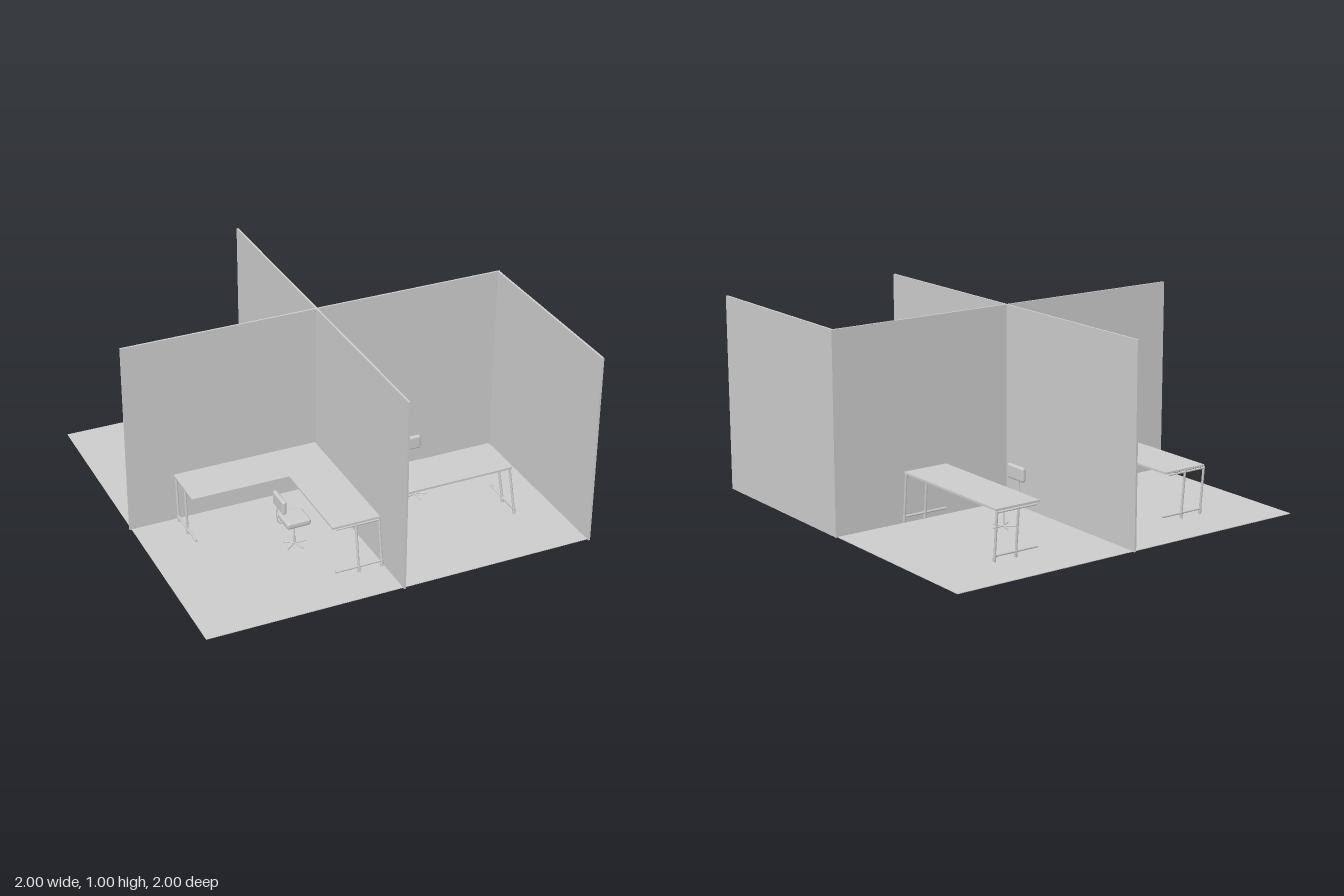
import * as THREE from 'three';
import { RoundedBoxGeometry } from 'three/addons/geometries/RoundedBoxGeometry.js';

const material = new THREE.MeshStandardMaterial({ color: 0xcccccc });
const TOP = 0.262, THICK = 0.01;

function add(parent, name, geometry, x = 0, y = 0, z = 0) {
  const mesh = new THREE.Mesh(geometry, material);
  mesh.name = name;
  mesh.position.set(x, y, z);
  parent.add(mesh);
  return mesh;
}

// Box given by its extents
function slab(parent, name, x0, x1, y0, y1, z0, z1) {
  return add(parent, name, new THREE.BoxGeometry(x1 - x0, y1 - y0, z1 - z0),
    (x0 + x1) / 2, (y0 + y1) / 2, (z0 + z1) / 2);
}

// Round rod between two points
function rod(parent, name, a, b, r) {
  const d = b.clone().sub(a);
  const mesh = add(parent, name, new THREE.CylinderGeometry(r, r, d.length(), 12));
  mesh.position.copy(a).addScaledVector(d, 0.5);
  mesh.quaternion.setFromUnitVectors(new THREE.Vector3(0, 1, 0), d.normalize());
  return mesh;
}

// Leaning leg with a foot glide
function leg(parent, x, z, lean) {
  const top = new THREE.Vector3(x, TOP - THICK, z);
  const foot = new THREE.Vector3(x + lean[0], 0.008, z + lean[1]);
  rod(parent, 'deskLeg', foot, top, 0.006);
  rod(parent, 'footGlide', foot, foot.clone().lerp(top, 0.14), 0.008);
}

// End frame: two legs, a foot bar and a top rail, running from (x, z) along dir
function endFrame(parent, x, z, dir, lean) {
  const frame = new THREE.Group();
  frame.name = 'endFrame';
  parent.add(frame);
  for (const s of [0, 0.12]) leg(frame, x + dir[0] * s, z + dir[1] * s, lean);
  const bar = (name, y, len, k, r) => rod(frame, name,
    new THREE.Vector3(x + lean[0] * k, y, z + lean[1] * k),
    new THREE.Vector3(x + lean[0] * k + dir[0] * len, y, z + lean[1] * k + dir[1] * len), r);
  bar('footBar', 0.036, 0.24, 0.88, 0.006);
  bar('topRail', TOP - THICK - 0.006, 0.22, 0, 0.005);
}

function rail(parent, x0, z0, x1, z1) {
  const y = TOP - THICK - 0.007;
  rod(parent, 'longRail', new THREE.Vector3(x0, y, z0), new THREE.Vector3(x1, y, z1), 0.005);
}

// Chair facing local +z, turned about its post
function chair(parent, x, z, turn) {
  const g = new THREE.Group();
  g.name = 'chair';
  g.position.set(x, 0, z);
  g.rotation.y = turn;
  parent.add(g);
  add(g, 'seat', new RoundedBoxGeometry(0.125, 0.036, 0.125, 3, 0.013), 0, 0.172, 0);
  add(g, 'backrest', new RoundedBoxGeometry(0.125, 0.072, 0.024, 3, 0.011), 0, 0.282, -0.075);
  add(g, 'post', new THREE.CylinderGeometry(0.004, 0.004, 0.125, 12), 0, 0.093, 0);
  const spine = new THREE.CatmullRomCurve3([
    [0, 0.155, -0.04], [0, 0.165, -0.075], [0, 0.2, -0.09], [0, 0.27, -0.088],
  ].map((p) => new THREE.Vector3(...p)));
  add(g, 'backSupport', new THREE.TubeGeometry(spine, 16, 0.003, 8));
  // Five-spoke base
  for (let i = 0; i < 5; i++) {
    const a = (i / 5) * Math.PI * 2 + Math.PI / 2;
    rod(g, 'baseSpoke', new THREE.Vector3(0, 0.033, 0),
      new THREE.Vector3(Math.cos(a) * 0.062, 0.033, Math.sin(a) * 0.062), 0.004);
  }
}

function group(parent, name) {
  const g = new THREE.Group();
  g.name = name;
  parent.add(g);
  return g;
}

export function createModel() {
  const model = new THREE.Group();
  model.name = 'officeCubicles';

  // Floor and partitions
  slab(model, 'floor', -0.99, 0.99, 0, 0.003, -0.99, 0.99);
  slab(model, 'crossPartition', -1, 1, 0, 1, -0.005, 0.005);
  slab(model, 'lengthPartition', -0.005, 0.005, 0, 1, -1, 1);
  slab(model, 'sidePartition', 0.987, 0.998, 0, 1, 0, 1);

  // Two mirrored rear desks with chairs on the inner side
  for (const s of [-1, 1]) {
    const desk = group(model, s < 0 ? 'rearRightDesk' : 'rearLeftDesk');
    add(desk, 'deskTop', new THREE.BoxGeometry(0.245, THICK, 0.75), s * 0.4985, TOP - THICK / 2, -0.392);
    for (const z of [-0.768, -0.03]) endFrame(desk, s * 0.617, z, [-s, 0], [0, 0.022]);
    rail(desk, s * 0.5, -0.768, s * 0.5, -0.03);
    chair(model, s * 0.313, -0.402, s * Math.PI / 2);
  }

  // Front desk with its chair behind it
  const front = group(model, 'frontLeftDesk');
  slab(front, 'deskTop', 0.01, 0.762, TOP - THICK, TOP, 0.375, 0.625);
  for (const x of [0.014, 0.752]) endFrame(front, x, 0.62, [0, -1], [0.02, 0.034]);
  rail(front, 0.014, 0.5, 0.752, 0.5);
  chair(model, 0.39, 0.32, 0);

  // L-shaped corner desk
  const corner = group(model, 'cornerDesk');
  const outline = new THREE.Shape([
    [-0.765, 0.012], [-0.015, 0.012], [-0.015, 0.757],
    [-0.26, 0.757], [-0.26, 0.257], [-0.765, 0.257],
  ].map((p) => new THREE.Vector2(...p)));
  const top = new THREE.ExtrudeGeometry(outline, { depth: THICK, bevelEnabled: false });
  top.rotateX(Math.PI / 2);
  add(corner, 'deskTop', top, 0, TOP, 0);
  endFrame(corner, -0.02, 0.755, [-1, 0], [0, 0.04]);
  endFrame(corner, -0.757, 0.02, [0, 1], [0, 0.02]);
  leg(corner, -0.022, 0.02, [0, 0.02]);
  rail(corner, -0.14, 0.14, -0.14, 0.755);
  rail(corner, -0.757, 0.14, -0.14, 0.14);
  chair(model, -0.333, 0.48, Math.PI / 2);

  return model;
}
